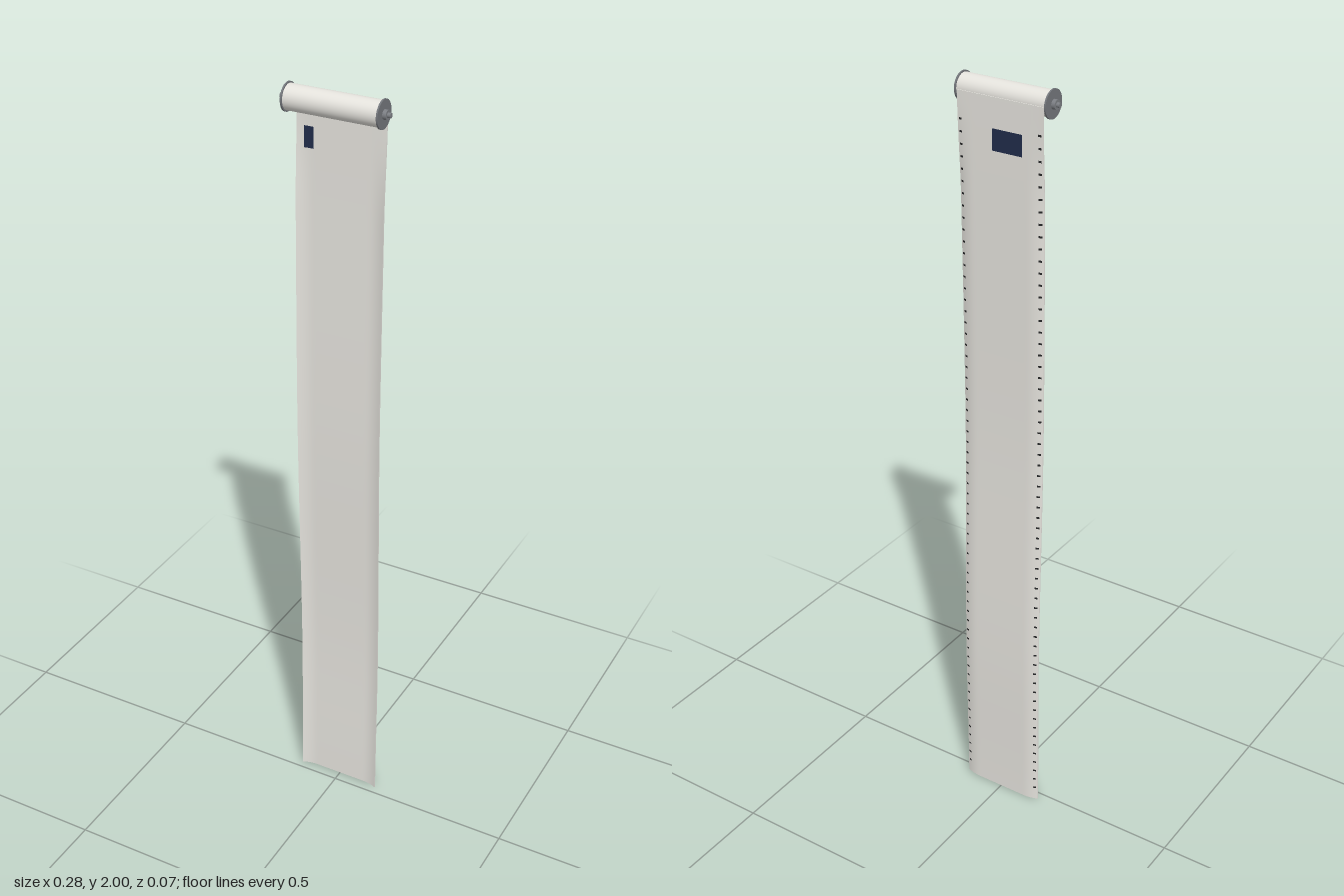
import * as THREE from 'three';
import { mergeGeometries } from 'three/addons/utils/BufferGeometryUtils.js';

const ROLL_Y = 1.966;
const HALF_W = 0.114;
const THICK = 0.003;

const mat = (name, color) => {
  const m = new THREE.MeshStandardMaterial({ color });
  m.name = name;
  return m;
};

// Gentle fore-and-aft wave of the hanging strip: [height, depth]
const WAVE = [[0, -0.030], [0.42, -0.0345], [1.15, -0.024], [ROLL_Y, -0.031]];
function sheetZ(x, y) {
  let i = 0;
  while (i < WAVE.length - 2 && y > WAVE[i + 1][0]) i++;
  const [y0, z0] = WAVE[i], [y1, z1] = WAVE[i + 1];
  const wave = z0 + (z1 - z0) * THREE.MathUtils.smoothstep(y, y0, y1);
  // long edges curl forward below the roll
  const u = Math.max(0, (Math.abs(x) - 0.074) / (HALF_W - 0.074));
  const fade = 1 - THREE.MathUtils.smoothstep(y, 1.7, ROLL_Y);
  return wave + 0.009 * u * u * fade;
}

// Moves a flat geometry onto the curved sheet
function drape(geo) {
  const p = geo.attributes.position;
  for (let i = 0; i < p.count; i++) {
    p.setZ(i, p.getZ(i) + sheetZ(p.getX(i), p.getY(i)));
  }
  geo.computeVertexNormals();
  return geo;
}

// Thin patch lying on the front (side 1) or back (side -1) of the sheet
function patch(x, y, w, h, side, segX = 4) {
  const geo = new THREE.PlaneGeometry(w, h, segX, 2);
  if (side < 0) geo.rotateY(Math.PI);
  geo.translate(x, y, side * (THICK / 2 + 0.0008));
  return drape(geo);
}

export function createModel() {
  const group = new THREE.Group();
  const paper = mat('paper', 0xe5e3dd);
  const metal = mat('grey metal', 0x74777c);
  const hubMetal = mat('hub metal', 0x7c7f84);
  const navy = mat('navy print', 0x202c4a);
  const black = mat('black marks', 0x242526);

  const add = (name, geo, material, parent = group) => {
    const mesh = new THREE.Mesh(geo, material);
    mesh.name = name;
    parent.add(mesh);
    return mesh;
  };
  // Cylinder lying along x
  const rod = (r, x0, x1, seg = 32) =>
    new THREE.CylinderGeometry(r, r, x1 - x0, seg)
      .rotateZ(-Math.PI / 2).translate((x0 + x1) / 2, 0, 0);

  // Roll
  const roller = new THREE.Group();
  roller.name = 'roller';
  roller.position.y = ROLL_Y;
  group.add(roller);
  add('paperRoll', rod(0.0305, -0.118, 0.118, 48), paper, roller);

  // End flanges, hubs and axle tips, mirrored by turning half round
  for (const side of [1, -1]) {
    const end = new THREE.Group();
    end.name = side > 0 ? 'leftEnd' : 'rightEnd';
    if (side < 0) end.rotation.y = Math.PI;
    roller.add(end);
    add('flange', rod(0.034, 0.117, 0.121, 40), metal, end);
    add('hub', rod(0.0115, 0.121, 0.13, 24), hubMetal, end);
    add('axleTip', rod(0.006, 0.13, 0.138, 16), hubMetal, end);
  }

  // Hanging strip
  const sheet = new THREE.BoxGeometry(HALF_W * 2, ROLL_Y, THICK, 32, 64, 1);
  sheet.translate(0, ROLL_Y / 2, 0);
  add('hangingStrip', drape(sheet), paper);

  // Printed labels: a small one in front, a wide one behind
  add('frontLabel', patch(-0.083, 1.868, 0.025, 0.052, 1), navy);
  add('backLabel', patch(-0.02, 1.868, 0.08, 0.052, -1), navy);

  // Evenly spaced marks along both back edges
  for (const side of [1, -1]) {
    const marks = [];
    for (let y = 0.04; y < 1.91; y += 0.03) {
      marks.push(patch(side * 0.106, y, 0.008, 0.005, -1, 2));
    }
    add(side > 0 ? 'leftEdgeMarks' : 'rightEdgeMarks', mergeGeometries(marks), black);
  }
  return group;
}
